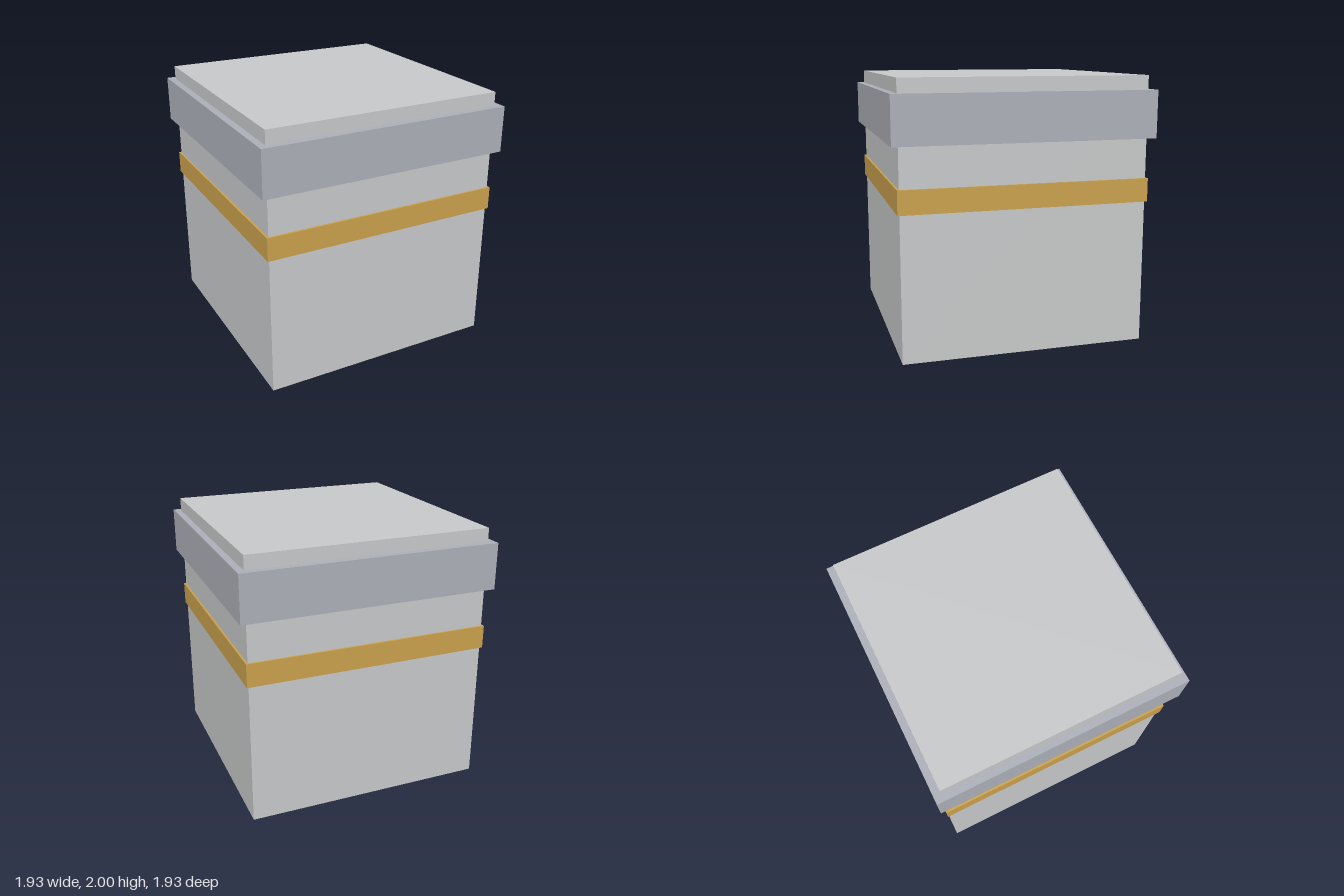
import * as THREE from 'three';

export function createModel() {
  const group = new THREE.Group();
  const makeMaterial = (name, color) => {
    const m = new THREE.MeshStandardMaterial({ color });
    m.name = name;
    return m;
  };
  const stone = makeMaterial('light grey', 0xc6c7c8);
  const steel = makeMaterial('blue grey', 0xabaeb7);
  const gold = makeMaterial('gold', 0xc8a04d);

  // Square block spanning two heights, centred on the vertical axis
  const addBlock = (name, width, bottom, top, material) => {
    const mesh = new THREE.Mesh(new THREE.BoxGeometry(width, top - bottom, width), material);
    mesh.name = name;
    mesh.position.y = (bottom + top) / 2;
    group.add(mesh);
  };

  addBlock('body', 1.826, 0, 2, stone);
  addBlock('goldBand', 1.857, 1.075, 1.25, gold);
  addBlock('upperCollar', 1.932, 1.547, 1.897, steel);

  return group;
}
